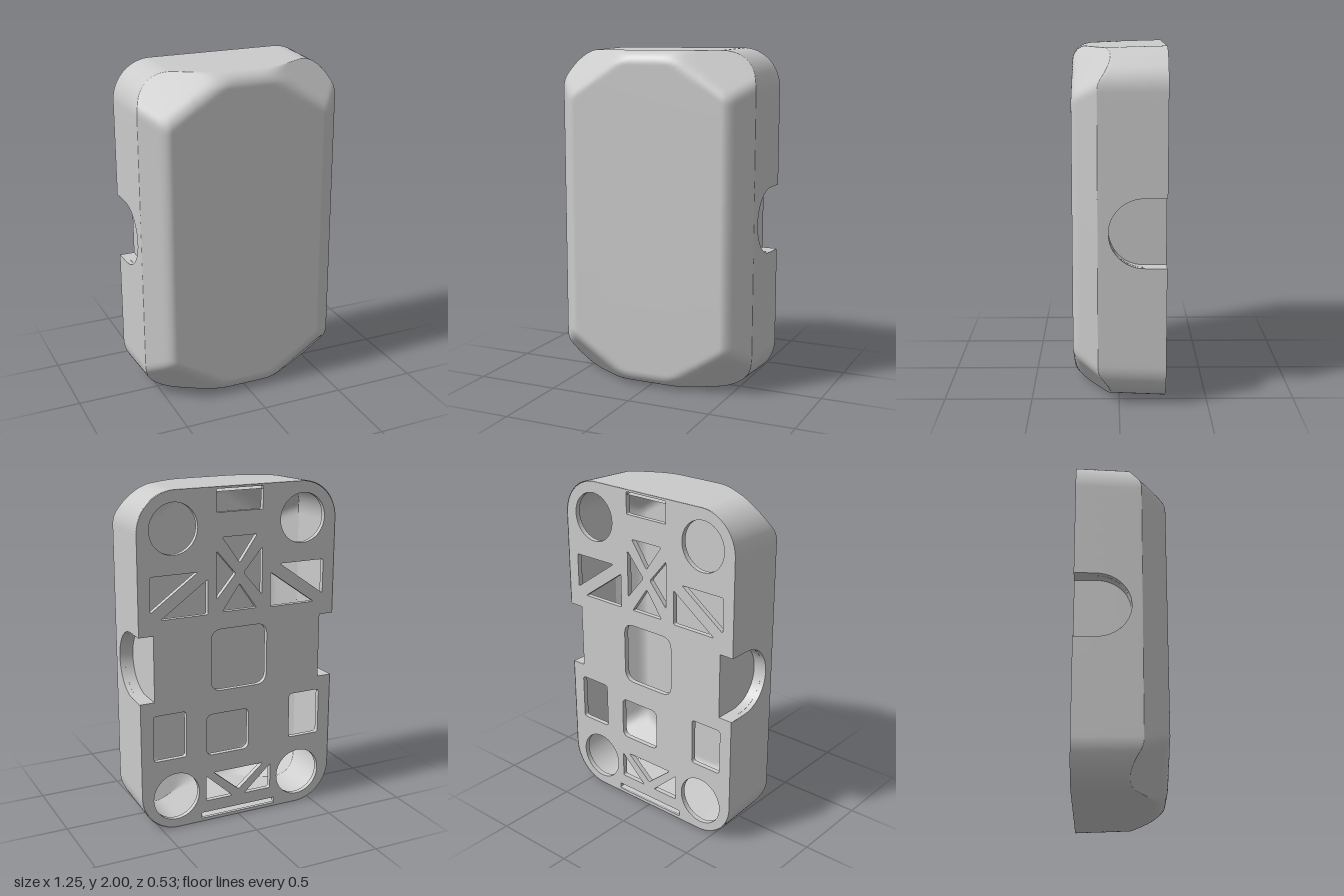
import * as THREE from 'three';

const HX = 0.625, HY = 1, R = 0.23, BACK = -0.263, FRONT = 0.263, WALL = 0.03;
const NOTCH = 0.195, NOTCH_Z = -0.135, NOTCH_X = 0.535;
const mat = new THREE.MeshStandardMaterial({ color: 0xcccccc, side: THREE.DoubleSide });

const smin = (a, b, k) => {
  const h = Math.max(k - Math.abs(a - b), 0) / k;
  return Math.min(a, b) - h * h * k * 0.25;
};

// Front surface: flat face, sloped sides, cut corners, rounded top and bottom
function frontHeight(x, y) {
  const ax = Math.abs(x), ay = Math.abs(y);
  const side = 0.12 + 1.24 * (0.613 - ax);
  const corner = FRONT - 1.1 * (0.543 * ax + 0.84 * ay - 0.882);
  const r = 0.085, e = Math.min(r, Math.max(0, 0.99 - ay));
  const cap = FRONT - r + Math.sqrt(Math.max(0, r * r - (r - e) ** 2));
  return smin(smin(cap, side, 0.04), corner, 0.04);
}

// Rounded outline, counter-clockwise, with extra points along the side notch
function outline() {
  const half = [], cx = HX - R, cy = HY - R;
  const ends = [0.196, 0.3, 0.45, 0.6, 0.7, cy];
  const ys = ends.map(v => -v).reverse();
  for (let i = 0; i <= 24; i++) ys.push(NOTCH * Math.sin((i / 24 - 0.5) * Math.PI));
  ys.push(...ends);
  ys.forEach(y => half.push([HX, y]));
  const arc = (x, from) => {
    for (let i = 1; i < 20; i++) {
      const a = from + (i / 20) * Math.PI / 2;
      half.push([x + R * Math.cos(a), cy + R * Math.sin(a)]);
    }
  };
  arc(cx, 0);
  for (let i = 0; i <= 20; i++) half.push([cx * (1 - i / 10), HY]);
  arc(-cx, Math.PI / 2);
  return half.concat(half.map(([x, y]) => [-x, -y]));
}

// Shell skin: wall rows from the back edge, then rings closing over the front
function skin(inner) {
  const pts = outline(), n = pts.length, rows = [], pos = [], idx = [];
  const put = (x, y, z, v) => {
    if (inner) {
      x *= 1 - WALL / HX;
      y -= Math.sign(y) * Math.max(0, Math.abs(y) - 0.2) * WALL / 0.8;
      z -= WALL * v;
    }
    pos.push(x, y, z);
  };
  const wallRows = [0, 0.25, 0.5, 0.75, 0.93, 1];
  for (const v of wallRows) {
    for (const [x, y] of pts) {
      const cut = Math.abs(x) > HX - 1e-6 && Math.abs(y) <= NOTCH + 1e-6;
      const z0 = cut ? NOTCH_Z + Math.sqrt(Math.max(0, NOTCH ** 2 - y * y)) : BACK;
      const top = frontHeight(x * 0.982, y * 0.99);
      const z = z0 + (top - z0) * v;
      const k = Math.min(1, (z - BACK) / (top - BACK));
      put(x * (1 - 0.018 * k), y * (1 - 0.01 * k), z, v);
    }
    rows.push(v);
  }
  const rings = 56;
  for (let i = 1; i <= rings; i++) {
    const s = i / rings, t = i === rings ? 0 : 1 - 0.5 * Math.pow(s, 1.5);
    for (const [px, py] of pts) {
      const x = px * 0.982 * t, y = py * 0.99 * t;
      put(x, y, frontHeight(x, y), 1);
    }
    rows.push(t);
  }
  for (let r = 0; r < rows.length - 1; r++) for (let i = 0; i < n; i++) {
    const a = r * n + i, b = r * n + (i + 1) % n, c = a + n, d = b + n;
    if (inner) idx.push(a, d, b, a, c, d);
    else idx.push(a, b, d, a, d, c);
  }
  const g = new THREE.BufferGeometry();
  g.setAttribute('position', new THREE.Float32BufferAttribute(pos, 3));
  g.setIndex(idx);
  g.computeVertexNormals();
  return g;
}

// Polygon path with rounded corners
function roundPoly(points, r, target = new THREE.Path()) {
  const v = points.map(p => new THREE.Vector2(...p)), n = v.length;
  v.forEach((p, i) => {
    const toward = q => p.clone().add(q.clone().sub(p).setLength(r));
    const a = toward(v[(i + n - 1) % n]), b = toward(v[(i + 1) % n]);
    if (i === 0) target.moveTo(a.x, a.y); else target.lineTo(a.x, a.y);
    target.quadraticCurveTo(p.x, p.y, b.x, b.y);
  });
  target.closePath();
  return target;
}
const rect = (x0, x1, y0, y1, r) => roundPoly([[x0, y0], [x1, y0], [x1, y1], [x0, y1]], r);

// Back plate with weight-saving openings (y measured from the middle)
function plateGeometry() {
  const s = new THREE.Shape(), x = HX - 0.003, y = HY - 0.003, r = R, N = NOTCH;
  s.moveTo(x, -y + r);
  s.lineTo(x, -N); s.lineTo(NOTCH_X, -N); s.lineTo(NOTCH_X, N); s.lineTo(x, N);
  s.lineTo(x, y - r);
  s.absarc(x - r, y - r, r, 0, Math.PI / 2);
  s.absarc(-x + r, y - r, r, Math.PI / 2, Math.PI);
  s.lineTo(-x, N); s.lineTo(-NOTCH_X, N); s.lineTo(-NOTCH_X, -N); s.lineTo(-x, -N);
  s.absarc(-x + r, -y + r, r, Math.PI, Math.PI * 1.5);
  s.absarc(x - r, -y + r, r, Math.PI * 1.5, Math.PI * 2);
  const tri = p => s.holes.push(roundPoly(p, 0.012));
  s.holes.push(
    rect(-0.18, 0.18, -0.185, 0.185, 0.07),
    rect(-0.065, 0.21, -0.58, -0.325, 0.04),
    rect(-0.145, 0.145, 0.855, 0.985, 0.008),
    rect(-0.245, 0.245, -0.978, -0.942, 0.006));
  for (const m of [1, -1]) {
    for (const cy of [0.785, -0.8]) {
      const c = new THREE.Path();
      c.absarc(m * 0.405, cy, 0.145, 0, Math.PI * 2);
      s.holes.push(c);
    }
    s.holes.push(rect(...(m > 0 ? [0.34, 0.545] : [-0.545, -0.34]), -0.56, -0.28, 0.02));
    // Split rectangles beside the upper brace
    tri([[m * 0.55, 0.53], [m * 0.26, 0.53], [m * 0.55, 0.325]]);
    tri([[m * 0.2, 0.28], [m * 0.49, 0.28], [m * 0.2, 0.485]]);
    // Upper cross brace
    tri([[m * 0.145, 0.64], [m * 0.145, 0.36], [m * 0.025, 0.5]]);
    tri([[-0.11, 0.5 + m * 0.215], [0.11, 0.5 + m * 0.215], [0, 0.5 + m * 0.06]]);
    // Lower brace sides
    tri([[m * 0.215, -0.71], [m * 0.215, -0.87], [m * 0.04, -0.87]]);
  }
  tri([[-0.165, -0.695], [0.165, -0.695], [0, -0.835]]);
  return new THREE.ExtrudeGeometry(s, { depth: WALL, bevelEnabled: false, curveSegments: 24 });
}

// Side grip recess: flat floor and U-shaped rim
function notchPath() {
  const p = [[BACK, -NOTCH]];
  for (let i = 0; i <= 24; i++) {
    const a = (i / 24 - 0.5) * Math.PI;
    p.push([NOTCH_Z + NOTCH * Math.cos(a), NOTCH * Math.sin(a)]);
  }
  p.push([BACK, NOTCH]);
  return p;
}
function notchRim(side) {
  const pos = [], idx = [], p = notchPath();
  p.forEach(([z, y]) => {
    const outer = HX * (1 - 0.018 * Math.min(1, (z - BACK) / 0.383));
    pos.push(side * NOTCH_X, y, z, side * outer, y, z);
  });
  for (let i = 0; i < p.length - 1; i++) {
    const a = 2 * i;
    if (side > 0) idx.push(a, a + 1, a + 3, a, a + 3, a + 2);
    else idx.push(a, a + 3, a + 1, a, a + 2, a + 3);
  }
  const g = new THREE.BufferGeometry();
  g.setAttribute('position', new THREE.Float32BufferAttribute(pos, 3));
  g.setIndex(idx);
  g.computeVertexNormals();
  return g;
}
function notchFloor(side) {
  const shape = new THREE.Shape(notchPath().map(([z, y]) => new THREE.Vector2(-side * z, y)));
  return new THREE.ShapeGeometry(shape).rotateY(side * Math.PI / 2).translate(side * NOTCH_X, 0, 0);
}

export function createModel() {
  const model = new THREE.Group();
  model.name = 'casing';
  const add = (name, geometry, z = 0) => {
    const m = new THREE.Mesh(geometry, mat);
    m.name = name;
    m.position.set(0, 1, z);
    model.add(m);
  };
  add('outerShell', skin(false));
  add('innerShell', skin(true));
  add('backPlate', plateGeometry(), BACK);
  for (const [name, side] of [['left', 1], ['right', -1]]) {
    add(name + 'NotchRim', notchRim(side));
    add(name + 'NotchFloor', notchFloor(side));
  }
  return model;
}
